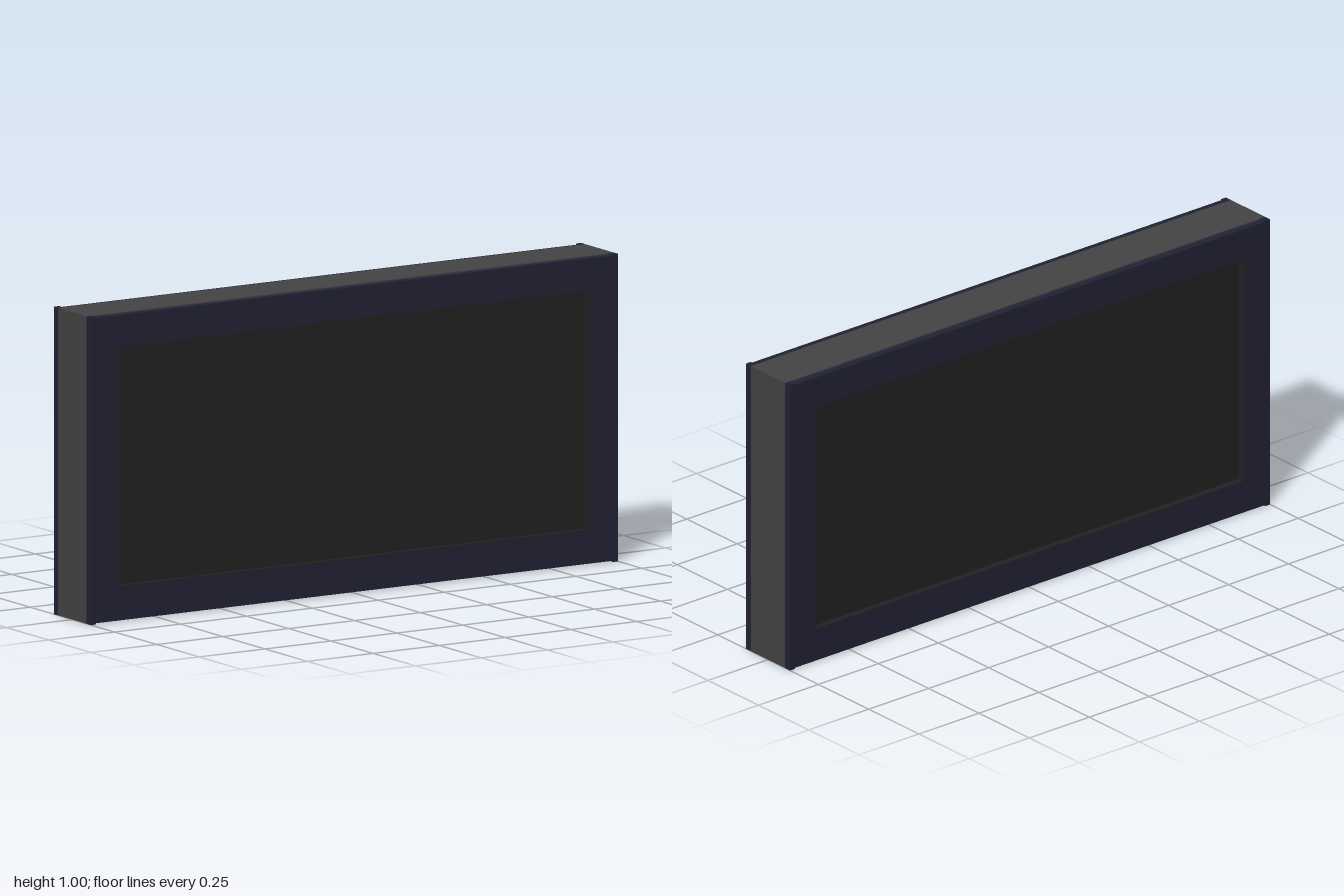
import * as THREE from 'three';

const mat = (name, color) => {
  const m = new THREE.MeshStandardMaterial({ color });
  m.name = name;
  return m;
};

// Rectangular ring from z = 0 to z = depth
function ring(x, y0, y1, ix, iy0, iy1, depth) {
  const rect = (T, a, b, c) => {
    const p = new T();
    p.moveTo(-a, b);
    p.lineTo(a, b);
    p.lineTo(a, c);
    p.lineTo(-a, c);
    p.closePath();
    return p;
  };
  const shape = rect(THREE.Shape, x, y0, y1);
  shape.holes.push(rect(THREE.Path, ix, iy0, iy1));
  return new THREE.ExtrudeGeometry(shape, { depth, bevelEnabled: false });
}

export function createModel() {
  const casing = mat('casing grey', 0x444444);
  const navy = mat('frame navy', 0x222236);
  const dark = mat('screen black', 0x222222);

  const model = new THREE.Group();
  model.name = 'doubleSidedPanel';

  const add = (parent, name, geometry, material, x = 0, y = 0, z = 0) => {
    const m = new THREE.Mesh(geometry, material);
    m.name = name;
    m.position.set(x, y, z);
    parent.add(m);
  };

  // Casing between the two faces
  add(model, 'casing', new THREE.BoxGeometry(2, 1, 0.17), casing, 0, 0.5, 0);

  // Identical front and back faces
  for (const [name, turn] of [['frontFace', 0], ['backFace', Math.PI]]) {
    const face = new THREE.Group();
    face.name = name;
    face.rotation.y = turn;

    // Frame, a hair lower than the casing, with full-height edge strips
    add(face, 'frame', ring(0.98, 0.004, 0.996, 0.893, 0.112, 0.893, 0.025), navy, 0, 0, 0.085);
    for (const s of [-1, 1]) {
      add(face, 'edgeStrip', new THREE.BoxGeometry(0.02, 1, 0.025), navy, s * 0.99, 0.5, 0.0975);
    }

    // Recessed screen and the lining of its opening
    add(face, 'screen', new THREE.BoxGeometry(1.786, 0.781, 0.004), dark, 0, 0.5025, 0.085);
    add(face, 'screenLining', ring(0.893, 0.112, 0.893, 0.89, 0.115, 0.89, 0.0245), dark, 0, 0, 0.085);
    model.add(face);
  }
  return model;
}
